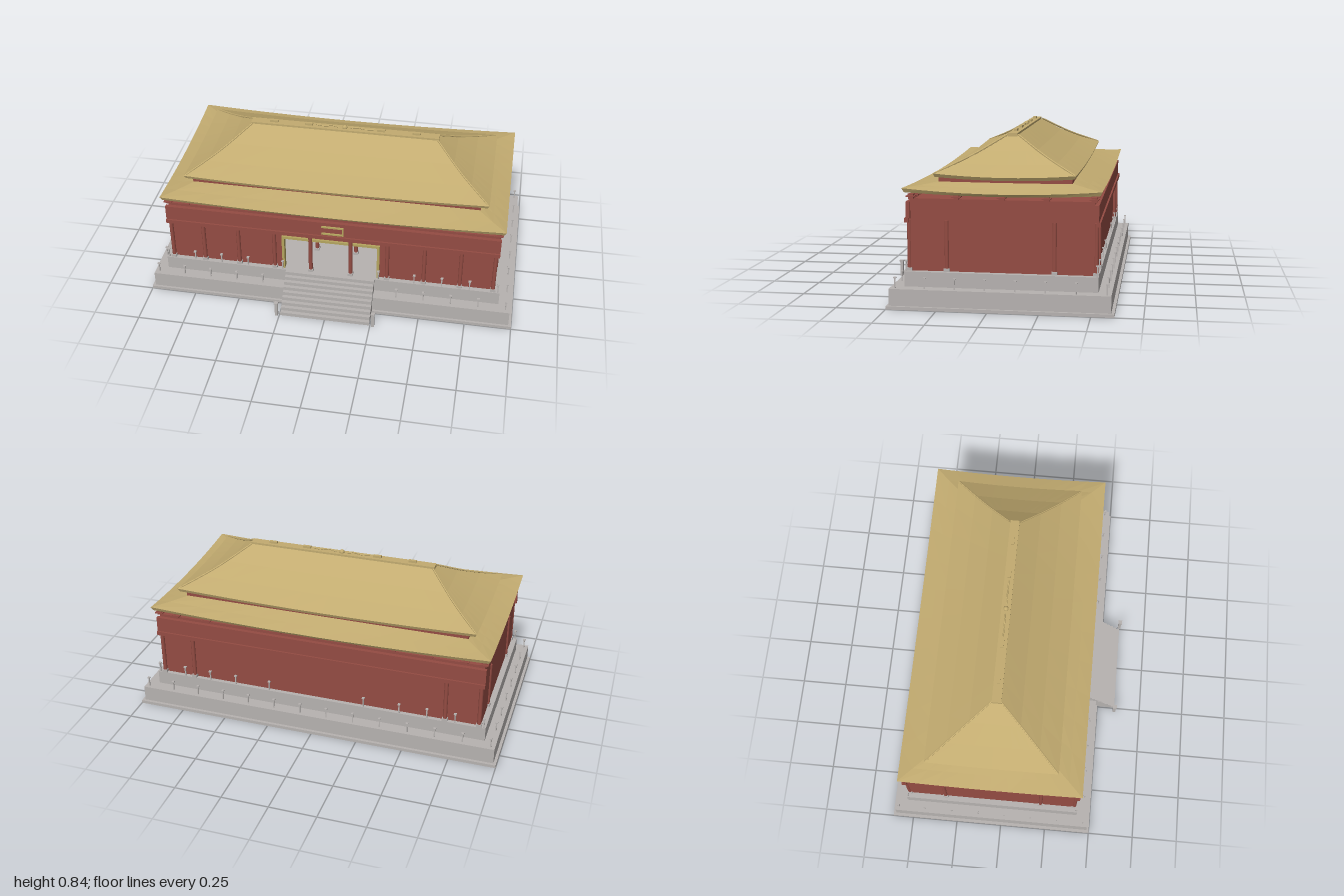
import * as THREE from 'three';

const ZC = -0.057; // depth centre of the hall

export function createModel() {
  const model = new THREE.Group();
  const mat = (name, color, extra = {}) => {
    const m = new THREE.MeshStandardMaterial({ color, ...extra });
    m.name = name;
    return m;
  };
  const stone = mat('stone grey', 0xb6b2b0);
  const red = mat('wall red', 0x944c43);
  const gold = mat('roof gold', 0xc2ab70, { flatShading: true });
  const trim = mat('gilded trim', 0xb5a55f);

  const add = (name, geo, material, x = 0, y = 0, z = 0) => {
    const m = new THREE.Mesh(geo, material);
    m.name = name;
    m.position.set(x, y, z);
    model.add(m);
    return m;
  };
  // box given by its limits
  const box = (name, material, x0, x1, y0, y1, z0, z1) =>
    add(name, new THREE.BoxGeometry(x1 - x0, y1 - y0, z1 - z0), material,
      (x0 + x1) / 2, (y0 + y1) / 2, (z0 + z1) / 2);

  // stepped terrace
  box('plinth', stone, -1, 1, 0, 0.016, -0.612, 0.5);
  box('lowerTerrace', stone, -0.985, 0.985, 0.016, 0.1, -0.596, 0.487);
  box('upperTerrace', stone, -0.922, 0.922, 0.1, 0.175, -0.531, 0.422);

  // front stairs
  const steps = 9;
  for (let i = 0; i < steps; i++) {
    const h = 0.175 / steps;
    box('stairStep', stone, -0.245, 0.245, i * h, (i + 1) * h, 0.41, 0.6 - i * 0.02);
  }
  for (const s of [-1, 1]) {
    box('newelPost', stone, s * 0.265 - 0.008, s * 0.265 + 0.008, 0, 0.08, 0.592, 0.608);
    box('newelCap', stone, s * 0.265 - 0.011, s * 0.265 + 0.011, 0.08, 0.087, 0.589, 0.611);
  }

  // slender balustrade posts
  const post = (x, y, z) => {
    box('balusterPost', stone, x - 0.003, x + 0.003, y, y + 0.05, z - 0.003, z + 0.003);
    box('balusterCap', stone, x - 0.007, x + 0.007, y + 0.05, y + 0.055, z - 0.007, z + 0.007);
  };
  for (let i = 0; i < 14; i++) {
    const x = -0.962 + i * 0.148;
    post(x, 0.1, -0.575);
    if (Math.abs(x) > 0.25) post(x, 0.1, 0.46);
  }
  for (let i = 1; i < 7; i++)
    for (const s of [-1, 1]) post(s * 0.962, 0.1, -0.575 + i * 0.148);
  for (const s of [-1, 1])
    for (const x of [0.265, 0.46, 0.61, 0.76, 0.912]) {
      post(s * x, 0.175, 0.414);
      post(s * x, 0.175, -0.524);
    }

  // hall walls with a wide front opening
  const F = 0.395, B = -0.509, W = 0.892, TOP = 0.535;
  for (const s of [-1, 1]) {
    add('sideWall', new THREE.BoxGeometry(0.02, TOP - 0.175, F - B), red, s * (W - 0.01), (TOP + 0.175) / 2, ZC);
    box('frontWall', red, s > 0 ? 0.255 : -W, s > 0 ? W : -0.255, 0.175, 0.39, F - 0.02, F);
  }
  box('frontWallTop', red, -W, W, 0.39, TOP, F - 0.02, F);
  box('backWall', red, -W, W, 0.175, TOP, B, B + 0.02);
  box('ceiling', red, -W, W, 0.52, 0.533, B, F);

  // tie beams along front and back
  for (const s of [-1, 1]) {
    const beam = (n, y0, y1, out) => add(n, new THREE.BoxGeometry(1.81, y1 - y0, 0.02), red, 0, (y0 + y1) / 2, ZC + s * (0.45 + out));
    beam('upperBeam', 0.435, 0.52, 0.012);
    beam('lowerBeam', 0.415, 0.437, 0.021);
  }

  // columns on square stone bases
  const column = (x, z) => {
    add('column', new THREE.CylinderGeometry(0.011, 0.011, 0.25, 10), red, x, 0.305, z);
    box('columnBase', stone, x - 0.014, x + 0.014, 0.175, 0.19, z - 0.014, z + 0.014);
  };
  for (const s of [-1, 1]) {
    for (const x of [0.11, 0.31, 0.51, 0.705, 0.885]) column(s * x, 0.403);
    for (const x of [0.705, 0.885]) column(s * x, -0.517);
    for (const z of [0.215, -0.315]) {
      column(s * 0.89, z);
      column(s * 0.11, z);
    }
  }

  // doorway frame, open plaque border and throne
  for (const s of [-1, 1])
    box('doorFrameSide', trim, s * 0.261 - 0.007, s * 0.261 + 0.007, 0.175, 0.39, F - 0.02, F + 0.012);
  box('doorFrameTop', trim, -0.268, 0.268, 0.378, 0.392, F - 0.02, F + 0.012);
  box('plaqueBorder', trim, -0.045, 0.075, 0.492, 0.5, 0.415, 0.424);
  box('plaqueBorder', trim, -0.045, 0.075, 0.448, 0.456, 0.415, 0.424);
  box('plaqueBorder', trim, 0.066, 0.075, 0.448, 0.5, 0.415, 0.424);
  box('throneDais', red, -0.09, 0.09, 0.175, 0.21, -0.1, 0.06);
  box('throneSeat', red, -0.03, 0.03, 0.21, 0.25, -0.07, 0.0);
  box('throneBack', red, -0.03, 0.03, 0.25, 0.32, -0.07, -0.055);

  // bracket sets under the eaves
  const bracket = (x, z) => {
    box('bracketBlock', red, x - 0.013, x + 0.013, 0.533, 0.543, z - 0.013, z + 0.013);
    box('bracketArm', red, x - 0.022, x + 0.022, 0.543, 0.549, z - 0.022, z + 0.022);
    box('bracketCap', red, x - 0.014, x + 0.014, 0.549, 0.558, z - 0.014, z + 0.014);
  };
  for (const x of [-0.89, -0.79, -0.61, -0.41, -0.205, 0, 0.205, 0.41, 0.61, 0.79, 0.89])
    for (const s of [-1, 1]) bracket(x, ZC + s * 0.447);
  for (const z of [-0.275, ZC, 0.165])
    for (const s of [-1, 1]) bracket(s * 0.89, z);

  // roof skin: stacked rectangles [half x, half z, mid height, corner lift]
  const roof = (name, levels) => {
    const n = 10, ring = 4 * n, pos = [], idx = [];
    const corners = [[1, 1], [1, -1], [-1, -1], [-1, 1]];
    for (const [hx, hz, y, lift] of levels)
      for (let c = 0; c < 4; c++) {
        const a = corners[c], b = corners[(c + 1) % 4];
        for (let i = 0; i < n; i++) {
          const t = i / n, s = 2 * t - 1;
          pos.push(hx * (a[0] + (b[0] - a[0]) * t), y + lift * s * s, hz * (a[1] + (b[1] - a[1]) * t));
        }
      }
    for (let l = 0; l < levels.length - 1; l++)
      for (let j = 0; j < ring; j++) {
        const k = (j + 1) % ring, p = l * ring, q = p + ring;
        idx.push(p + j, p + k, q + k, p + j, q + k, q + j);
      }
    const g = new THREE.BufferGeometry();
    g.setAttribute('position', new THREE.Float32BufferAttribute(pos, 3));
    g.setIndex(idx);
    g.computeVertexNormals();
    add(name, g, gold, 0, 0, ZC);
  };
  roof('lowerRoof', [
    [0.765, 0.325, 0.585, 0], [0.915, 0.478, 0.553, 0.014], [0.925, 0.487, 0.566, 0.022],
    [0.85, 0.412, 0.584, 0.01], [0.765, 0.325, 0.606, 0],
  ]);
  roof('upperRoof', [
    [0.765, 0.325, 0.622, 0], [0.815, 0.346, 0.617, 0.014], [0.825, 0.353, 0.633, 0.016],
    [0.72, 0.244, 0.682, 0.008], [0.615, 0.135, 0.742, 0.002], [0.51, 0.025, 0.813, 0],
  ]);
  box('clerestoryBand', red, -0.78, 0.78, 0.587, 0.626, ZC - 0.333, ZC + 0.333);

  // hip ridges
  for (const sx of [-1, 1])
    for (const sz of [-1, 1]) {
      const path = new THREE.CatmullRomCurve3([[0.818, 0.65, 0.346], [0.66, 0.724, 0.185], [0.515, 0.815, 0.028]]
        .map(([x, y, z]) => new THREE.Vector3(sx * x, y, sz * z)));
      add('hipRidge', new THREE.TubeGeometry(path, 12, 0.005, 6), gold, 0, 0, ZC);
    }

  // main ridge with ornaments
  box('mainRidge', gold, -0.52, 0.52, 0.796, 0.824, ZC - 0.025, ZC + 0.025);
  for (const x of [-0.395, -0.2, 0.2, 0.395])
    box('ridgeOrnament', gold, x - 0.022, x + 0.022, 0.824, 0.836, ZC - 0.008, ZC + 0.008);
  add('ridgePearl', new THREE.SphereGeometry(0.014, 12, 8), gold, 0, 0.828, ZC);
  for (const s of [-1, 1]) {
    const curl = new THREE.CatmullRomCurve3([[0.03, 0.825], [0.07, 0.834], [0.11, 0.826], [0.16, 0.831]]
      .map(([x, y]) => new THREE.Vector3(s * x, y, 0)));
    add('ridgeScroll', new THREE.TubeGeometry(curl, 12, 0.004, 6), gold, 0, 0, ZC);
  }
  return model;
}
